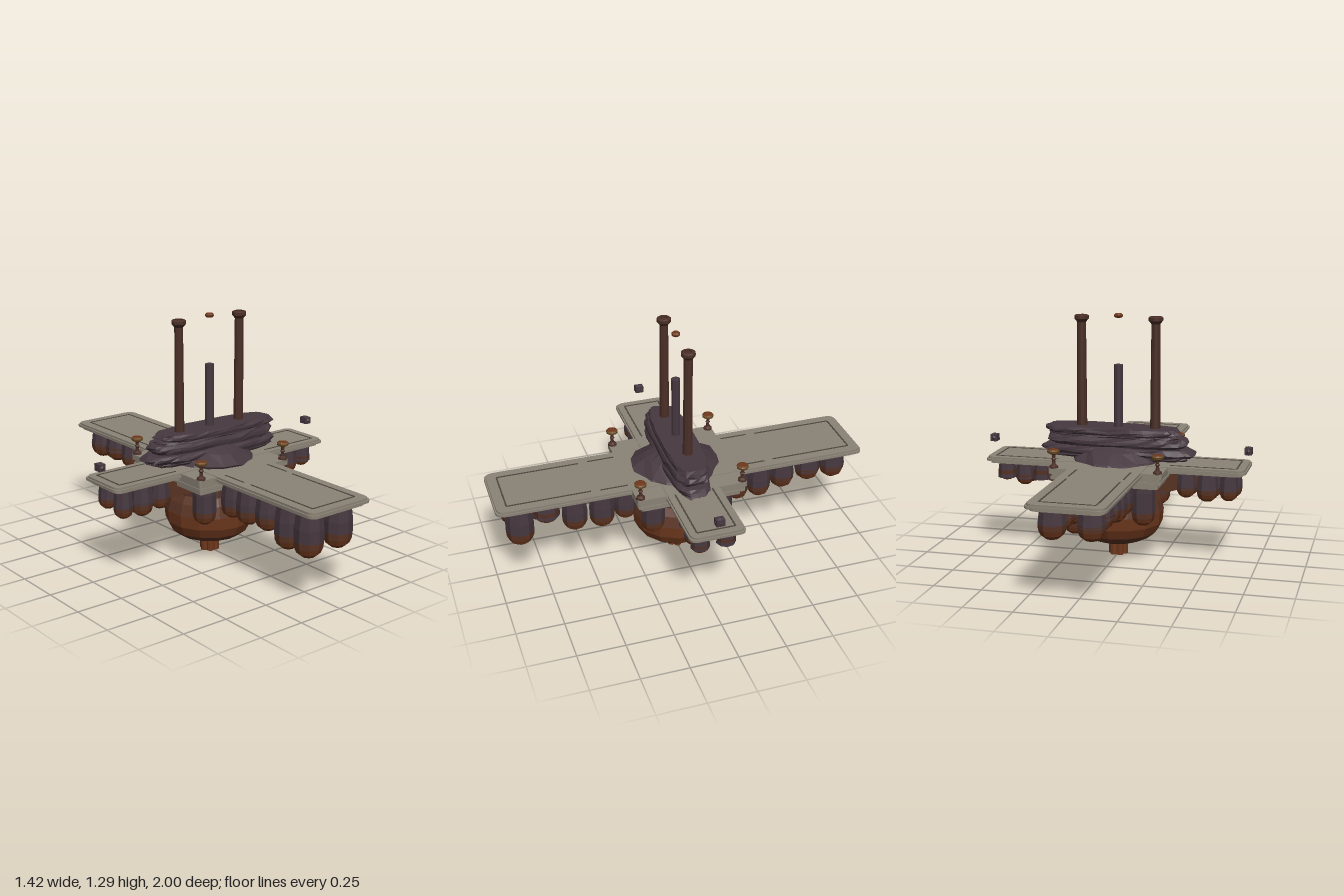
import * as THREE from 'three';

const mat = (name, color, extra = {}) => Object.assign(new THREE.MeshStandardMaterial({ color, ...extra }), { name });

export function createModel() {
  const root = new THREE.Group();
  root.name = 'floatingPlatform';
  const flat = { flatShading: true };
  const stone = mat('stone', 0x8b8376, flat);
  const groove = mat('darkGroove', 0x4c473f, flat);
  const rock = mat('purpleRock', 0x46383f, flat);
  const brown = mat('darkBrown', 0x4b2f27, flat);
  const rust = mat('rust', 0x6e381d, flat);
  const umber = mat('umber', 0x5a3424, flat);
  const brass = mat('brass', 0x6a4a22, flat);

  const add = (name, geo, m, x = 0, y = 0, z = 0, parent = root) => {
    const mesh = new THREE.Mesh(geo, m);
    mesh.name = name;
    mesh.position.set(x, y, z);
    parent.add(mesh);
    return mesh;
  };
  const lathe = (pts, sides) => new THREE.LatheGeometry(pts.map(p => new THREE.Vector2(p[0], p[1])), sides);
  const hash = (a, b) => {
    const s = Math.sin(a * 127.1 + b * 311.7) * 43758.5453;
    return s - Math.floor(s);
  };

  // Rounded slab lying flat, from y0 to y1
  const slab = (name, hx, hz, r, y0, y1, m = stone) => {
    const s = new THREE.Shape();
    s.moveTo(-hx + r, -hz);
    s.lineTo(hx - r, -hz); s.quadraticCurveTo(hx, -hz, hx, -hz + r);
    s.lineTo(hx, hz - r); s.quadraticCurveTo(hx, hz, hx - r, hz);
    s.lineTo(-hx + r, hz); s.quadraticCurveTo(-hx, hz, -hx, hz - r);
    s.lineTo(-hx, -hz + r); s.quadraticCurveTo(-hx, -hz, -hx + r, -hz);
    const g = new THREE.ExtrudeGeometry(s, { depth: y1 - y0, bevelEnabled: false, curveSegments: 5 });
    g.rotateX(-Math.PI / 2);
    return add(name, g, m, 0, y0, 0);
  };

  // Cross-shaped deck with stepped mouldings
  for (const [inset, y0, y1] of [[0.008, 0.51, 0.52], [0, 0.498, 0.51], [0.018, 0.484, 0.498]]) {
    slab('longArmDeck', 0.197 - inset, 1 - inset, 0.045, y0, y1);
    slab('shortArmDeck', 0.695 - inset, 0.146 - inset, 0.04, y0, y1);
  }
  for (const [h, y0, y1] of [[0.296, 0.488, 0.517], [0.285, 0.47, 0.488], [0.29, 0.458, 0.47], [0.27, 0.43, 0.458]])
    slab('centreDeck', h, h, 0.012, y0, y1);

  // Inlaid border lines on the arms
  const strip = (x0, x1, z0, z1) => add('inlayLine',
    new THREE.BoxGeometry(Math.abs(x1 - x0), 0.003, Math.abs(z1 - z0)), groove, (x0 + x1) / 2, 0.5205, (z0 + z1) / 2);
  const w = 0.004;
  for (const s of [-1, 1]) {
    strip(-0.135, 0.135, s * 0.938 - w, s * 0.938 + w);
    strip(s * 0.645 - w, s * 0.645 + w, -0.1, 0.1);
    for (const t of [-1, 1]) {
      strip(t * 0.137 - w, t * 0.137 + w, s * 0.5, s * 0.938);
      strip(t * 0.141 - w, t * 0.141 + w, s * 0.305, s * 0.45);
      strip(s * 0.3, s * 0.645, t * 0.1 - w, t * 0.1 + w);
    }
  }

  // Jagged mound below the layered rock
  const mound = lathe([[0.235, 0.5], [0.225, 0.53], [0.16, 0.575], [0.1, 0.605], [0, 0.62]], 18);
  const mp = mound.attributes.position;
  for (let i = 0; i < mp.count; i++) {
    const a = Math.round(Math.atan2(mp.getZ(i), mp.getX(i)) * 18 / (2 * Math.PI) + 18) % 18;
    const k = 0.92 + 0.16 * hash(a, Math.round(mp.getY(i) * 100));
    mp.setXYZ(i, mp.getX(i) * k, mp.getY(i), mp.getZ(i) * k);
  }
  add('rockMound', mound, rock);

  // Layered rock: stacked stadium-shaped strata with rough edges
  const stratum = (x0, x1, hz, y0, y1, seed) => {
    const n = 32, rings = [0.93, 1, 0.985, 0.94];
    const g = new THREE.CylinderGeometry(1, 1, y1 - y0, n, 3);
    const p = g.attributes.position;
    for (let i = 0; i < p.count; i++) {
      const x = p.getX(i), z = p.getZ(i), rad = Math.hypot(x, z);
      if (rad < 0.5) { p.setXYZ(i, (x0 + x1) / 2, p.getY(i), 0); continue; }
      const a = Math.round(Math.atan2(z, x) * n / (2 * Math.PI) + n) % n;
      const ring = Math.round((p.getY(i) / (y1 - y0) + 0.5) * 3);
      const k = rings[ring] * (0.95 + 0.07 * hash(a + seed, ring + seed));
      const px = Math.sign(x) * Math.abs(x) ** 0.7, pz = Math.sign(z) * Math.abs(z) ** 0.6;
      const X = (x0 + x1) / 2 + px * k * (x1 - x0) / 2;
      const lift = ring > 0 && ring < 3 ? (hash(a, seed) - 0.5) * 0.01 : 0;
      p.setXYZ(i, X, p.getY(i) + lift, pz * k * hz + X * 0.03);
    }
    g.computeVertexNormals();
    add('rockStratum', g, rock, 0, (y0 + y1) / 2, 0);
  };
  stratum(-0.39, 0.40, 0.09, 0.53, 0.56, 1);
  stratum(-0.42, 0.42, 0.108, 0.55, 0.592, 2);
  stratum(-0.36, 0.36, 0.085, 0.588, 0.605, 3);
  stratum(-0.39, 0.395, 0.108, 0.598, 0.645, 4);
  stratum(-0.35, 0.38, 0.09, 0.64, 0.662, 5);
  stratum(-0.34, 0.405, 0.1, 0.655, 0.692, 6);

  // Tall posts with capitals, central stub and floating pieces
  for (const s of [-1, 1]) {
    add('tallPost', new THREE.CylinderGeometry(0.023, 0.027, 0.6, 10), brown, s * 0.198, 0.95, 0);
    add('postCapital', lathe([[0.022, 1.235], [0.03, 1.245], [0.038, 1.254], [0.038, 1.27], [0.03, 1.275], [0.02, 1.275], [0.02, 1.265], [0, 1.265]], 10),
      brown, s * 0.198, 0, 0);
    const chunk = new THREE.SphereGeometry(0.03, 8, 4);
    chunk.scale(0.72, 0.85, 1);
    add('floatingStone', chunk, rock, s * 0.69, 0.597, 0);
    add('floatingStoneCore', new THREE.BoxGeometry(0.037, 0.036, 0.045), rock, s * 0.69, 0.597, 0);
  }
  add('centreStub', new THREE.CylinderGeometry(0.024, 0.024, 0.36, 10), rock, 0, 0.84, 0);
  add('floatingDisc', lathe([[0, 1.263], [0.016, 1.264], [0.023, 1.271], [0.023, 1.279], [0.016, 1.286], [0, 1.286]], 10), rust);

  // Corner finials
  for (const sx of [-1, 1]) for (const sz of [-1, 1]) {
    const f = new THREE.Group();
    f.name = 'cornerFinial';
    f.position.set(sx * 0.272, 0.515, sz * 0.275);
    root.add(f);
    add('finialStem', lathe([[0.024, 0], [0.022, 0.012], [0.01, 0.02], [0.008, 0.04], [0.013, 0.047], [0.008, 0.054], [0.01, 0.075]], 10), brown, 0, 0, 0, f);
    add('finialCup', lathe([[0.009, 0.068], [0.03, 0.08], [0.032, 0.09], [0.027, 0.096]], 12), brass, 0, 0, 0, f);
    add('finialTop', lathe([[0.027, 0.096], [0.015, 0.1], [0, 0.1]], 12), rust, 0, 0, 0, f);
  }

  // Faceted hull in bands, with its bundled stem
  add('hullUpper', lathe([[0.2, 0.35], [0.18, 0.46], [0, 0.46]], 14), brown);
  add('hullMiddle', lathe([[0.242, 0.25], [0.225, 0.31], [0.2, 0.35]], 14), umber);
  add('hullBelt', lathe([[0.212, 0.135], [0.236, 0.185], [0.242, 0.25]], 14), rust);
  add('hullBottom', lathe([[0, 0.08], [0.115, 0.08], [0.17, 0.102], [0.212, 0.135]], 14), umber);
  for (let i = 0; i < 7; i++) {
    const a = i * Math.PI / 3, r = i < 6 ? 0.034 : 0;
    add('stemPipe', new THREE.CylinderGeometry(0.019, 0.019, 0.1, 8), rust, r * Math.cos(a), 0.05, r * Math.sin(a));
  }

  // Tapered braces running out under the arms
  const brace = (len, deep, wide, turn) => {
    const s = new THREE.Shape();
    s.moveTo(0.1, 0.485); s.lineTo(0.1, deep); s.lineTo(0.28, deep); s.lineTo(len, 0.44); s.lineTo(len, 0.485);
    const g = new THREE.ExtrudeGeometry(s, { depth: wide, bevelEnabled: false });
    g.translate(0, 0, -wide / 2);
    add('armBrace', g, umber).rotation.y = turn;
  };
  for (const s of [0, 1]) {
    brace(0.52, 0.37, 0.14, s * Math.PI);
    brace(0.78, 0.35, 0.1, Math.PI / 2 + s * Math.PI);
  }

  // Hanging pods: faceted shaft with a rounded rusty tip
  const pod = (x, z, r, bottom) => {
    const g = new THREE.Group();
    g.name = 'hangingPod';
    g.position.set(x, bottom, z);
    root.add(g);
    add('podShaft', lathe([[r, r * 1.15], [r, 0.4 - bottom], [r * 0.85, 0.488 - bottom]], 9), rock, 0, 0, 0, g);
    add('podBand', lathe([[r * 0.96, r * 0.72], [r, r * 1.15]], 9), umber, 0, 0, 0, g);
    add('podTip', lathe([[0, 0], [r * 0.45, r * 0.07], [r * 0.8, r * 0.35], [r * 0.96, r * 0.72]], 9), rust, 0, 0, 0, g);
  };
  // [distance along arm, radius, bottom on +x side, bottom on -x side]
  const longFront = [[0.872, 0.074, 0.255, 0.25], [0.73, 0.07, 0.36, 0.25], [0.582, 0.067, 0.285, 0.3], [0.437, 0.067, 0.275, 0.29], [0.31, 0.06, 0.3, 0.29]];
  const longBack = [[0.868, 0.07, 0.325, 0.33], [0.722, 0.07, 0.335, 0.34], [0.572, 0.067, 0.315, 0.33], [0.44, 0.063, 0.285, 0.3], [0.315, 0.062, 0.29, 0.3]];
  for (const [rows, s] of [[longFront, 1], [longBack, -1]])
    for (const [d, r, a, b] of rows) { pod(0.095, s * d, r, a); pod(-0.095, s * d, r, b); }
  const shortRight = [[0.602, 0.05, 0.33], [0.49, 0.058, 0.32], [0.38, 0.052, 0.335]];
  const shortLeft = [[0.598, 0.05, 0.37], [0.497, 0.05, 0.35], [0.405, 0.045, 0.385]];
  for (const [rows, s] of [[shortRight, -1], [shortLeft, 1]])
    for (const [d, r, b] of rows) { pod(s * d, 0.068, r, b); pod(s * d, -0.068, r, b + 0.015); }
  for (const [x, z, b] of [[0.185, 0.185, 0.245], [-0.18, 0.185, 0.235], [0.185, -0.19, 0.15], [-0.18, -0.19, 0.22]])
    pod(x, z, 0.062, b);

  return root;
}
